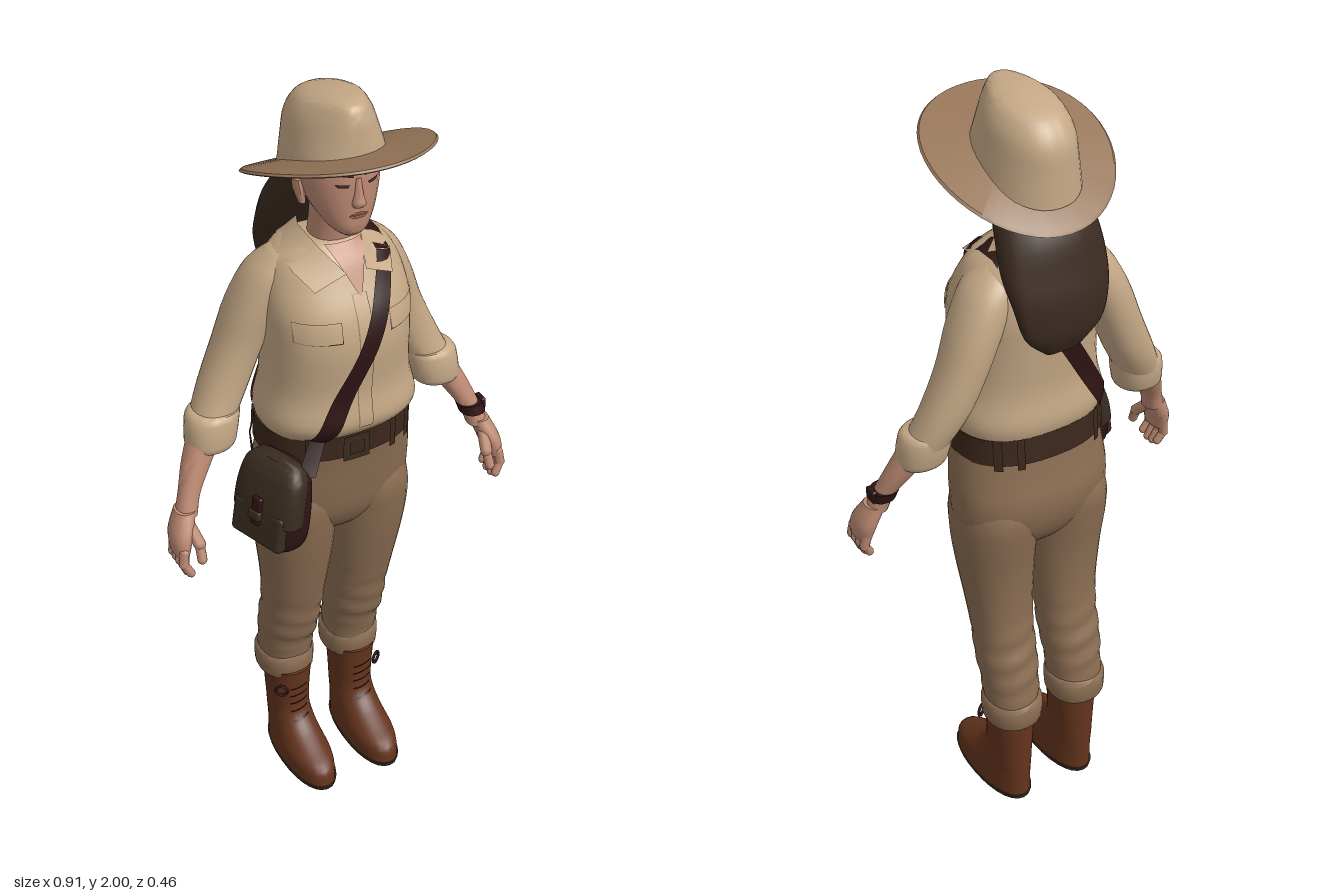
import * as THREE from 'three';
import { toCreasedNormals } from 'three/addons/utils/BufferGeometryUtils.js';
import { RoundedBoxGeometry } from 'three/addons/geometries/RoundedBoxGeometry.js';

const mat = (name, color) => Object.assign(new THREE.MeshStandardMaterial({ color, side: THREE.DoubleSide }), { name });
const M = {
  shirt: mat('sand cloth', 0xc5a886), brim: mat('hat brim tan', 0x957558), pants: mat('trouser brown', 0x8b6d52),
  skin: mat('skin', 0xbd8a73), hair: mat('dark hair', 0x3b2b21), belt: mat('belt leather', 0x3b271b),
  strap: mat('strap leather', 0x2d1413), bag: mat('bag leather', 0x392c20), boot: mat('boot leather', 0x64341d),
  lips: mat('lips', 0x9f6352),
};

// Catmull-Rom sampling of cross-sections [x, y, z, halfWidth, halfDepth, tilt]
function sample(keys, steps) {
  const rows = [], n = keys.length, K = i => keys[Math.min(n - 1, Math.max(0, i))];
  for (let i = 0; i < n - 1; i++) for (let s = 0; s < steps; s++) {
    const t = s / steps;
    rows.push([0, 1, 2, 3, 4, 5].map(c => {
      const [a, b, d, e] = [K(i - 1), K(i), K(i + 1), K(i + 2)].map(k => k[c] || 0);
      return 0.5 * (2 * b + (d - a) * t + (2 * a - 5 * b + 4 * d - e) * t * t + (3 * b - a - 3 * d + e) * t ** 3);
    }));
  }
  rows.push([...K(n - 1), 0].slice(0, 6));
  return rows;
}

export function createModel() {
  const model = new THREE.Group();
  model.name = 'explorer';

  function add(name, geo, material, parent = model) {
    const m = new THREE.Mesh(geo, material);
    m.name = name;
    parent.add(m);
    return m;
  }
  function build(pos, idx) {
    const g = new THREE.BufferGeometry();
    g.setAttribute('position', new THREE.Float32BufferAttribute(pos, 3));
    g.setIndex(idx);
    return toCreasedNormals(g, 0.8);
  }
  // Closed skin through superelliptical cross-sections, listed from bottom to top
  function loft(name, keys, material, { seg = 28, steps = 4, p = 2.2, warp, parent = model } = {}) {
    const rows = sample(keys, steps), pos = [], idx = [], v = new THREE.Vector3();
    const put = (x, y, z) => { v.set(x, y, z); if (warp) warp(v); pos.push(v.x, v.y, v.z); };
    const pw = c => Math.sign(c) * Math.abs(c) ** (2 / p);
    for (const [x, y, z, rx, rz, tilt] of rows) for (let j = 0; j < seg; j++) {
      const a = j / seg * Math.PI * 2, dz = rz * pw(Math.sin(a));
      put(x + rx * pw(Math.cos(a)), y + tilt * dz, z + dz);
    }
    const last = rows.length - 1, bot = rows.length * seg;
    put(...rows[0].slice(0, 3));
    put(...rows[last].slice(0, 3));
    for (let j = 0; j < seg; j++) {
      const k = (j + 1) % seg;
      for (let i = 0; i < last; i++) {
        const a = i * seg + j, b = i * seg + k;
        idx.push(a, a + seg, b, b, a + seg, b + seg);
      }
      idx.push(bot, j, k, bot + 1, last * seg + k, last * seg + j);
    }
    add(name, build(pos, idx), material, parent);
    return { rows, p };
  }
  // Depth of a lofted surface at (x, y); side +1 is the front, -1 the back
  function depth({ rows, p }, x, y, side) {
    let i = 0;
    while (i < rows.length - 2 && rows[i + 1][1] < y) i++;
    const t = THREE.MathUtils.clamp((y - rows[i][1]) / (rows[i + 1][1] - rows[i][1]), 0, 1);
    const [cx, , cz, rx, rz] = rows[i].map((a, c) => a + (rows[i + 1][c] - a) * t);
    const u = Math.min(1, Math.abs(x - cx) / rx);
    return cz + side * rz * (1 - u ** p) ** (1 / p);
  }
  // Strip between two rails of equal length
  function ribbon(name, A, B, material) {
    const pos = [], idx = [];
    A.forEach((a, i) => {
      pos.push(...a, ...B[i]);
      if (i) idx.push(2 * i - 2, 2 * i - 1, 2 * i, 2 * i, 2 * i - 1, 2 * i + 1);
    });
    add(name, build(pos, idx), material);
  }
  // Thin quad laid on a lofted surface; corners a-b form one edge, c-d the opposite one
  function patch(name, body, [a, b, c, d], material, off = 0.006, side = 1, n = 10, m = 6) {
    const pos = [], idx = [], mix = THREE.MathUtils.lerp;
    const flip = ((b[0] - a[0]) * (c[1] - a[1]) - (b[1] - a[1]) * (c[0] - a[0])) * side < 0;
    for (let i = 0; i <= n; i++) for (let j = 0; j <= m; j++) {
      const u = i / n, w = j / m;
      const x = mix(mix(a[0], b[0], w), mix(c[0], d[0], w), u), y = mix(mix(a[1], b[1], w), mix(c[1], d[1], w), u);
      pos.push(x, y, depth(body, x, y, side) + off * side);
      if (i < n && j < m) {
        const k = i * (m + 1) + j, l = k + m + 1;
        idx.push(...(flip ? [k, l, k + 1, l, l + 1, k + 1] : [k, k + 1, l, l, k + 1, l + 1]));
      }
    }
    add(name, build(pos, idx), material);
  }
  const box = (x0, x1, y0, y1) => [[x0, y0], [x1, y0], [x0, y1], [x1, y1]];
  // Rounded rod between two points
  function rod(name, a, b, r, material) {
    const A = new THREE.Vector3(...a), B = new THREE.Vector3(...b), d = B.clone().sub(A);
    const m = add(name, new THREE.CapsuleGeometry(r, d.length(), 4, 8), material);
    m.position.copy(A).add(B).multiplyScalar(0.5);
    m.quaternion.setFromUnitVectors(new THREE.Vector3(0, 1, 0), d.normalize());
  }

  // Shirt body, belt and hips
  const torso = loft('shirt', [[0.005, 1.15, -0.01, 0.187, 0.137], [0.005, 1.195, 0, 0.198, 0.157], [0.005, 1.28, 0, 0.18, 0.148],
    [0.005, 1.4, 0, 0.176, 0.158], [0.005, 1.48, -0.01, 0.178, 0.153], [0.005, 1.55, -0.025, 0.165, 0.13],
    [0.005, 1.6, -0.03, 0.135, 0.105], [0.005, 1.635, -0.035, 0.075, 0.075]], M.shirt, { seg: 40, p: 2.4 });
  loft('hips', [[0.01, 0.78, -0.036, 0.03, 0.04], [0.01, 0.82, -0.036, 0.12, 0.085], [0.01, 0.88, -0.037, 0.195, 0.12],
    [0.01, 0.96, -0.037, 0.206, 0.135], [0.01, 1.04, -0.025, 0.2, 0.133], [0.01, 1.12, -0.012, 0.187, 0.134]], M.pants, { seg: 36, p: 2.3 });
  const belt = loft('belt', [[0.005, 1.09, -0.014, 0.197, 0.143], [0.005, 1.16, -0.01, 0.195, 0.141]], M.belt, { seg: 36, steps: 1, p: 2.3 });
  patch('buckle', belt, box(-0.04, 0.03, 1.085, 1.155), M.bag, 0.008);
  patch('buckleInset', belt, box(-0.025, 0.015, 1.103, 1.138), M.belt, 0.011);
  for (const x of [-0.12, 0.1, 0.15]) for (const side of [1, -1])
    patch('beltLoop', belt, box(x - 0.009, x + 0.009, 1.08, 1.165), M.belt, 0.007, side, 3, 3);

  // Shirt front
  patch('neckOpening', torso, [[-0.04, 1.634], [0.055, 1.634], [0.008, 1.53], [0.014, 1.53]], M.skin, 0.006);
  patch('placketShadow', torso, box(-0.011, 0.026, 1.19, 1.535), M.brim, 0.002, 1, 24, 3);
  patch('placket', torso, box(-0.009, 0.026, 1.19, 1.535), M.shirt, 0.004, 1, 24, 3);
  for (const x of [-0.1, 0.125]) {
    patch('pocketFlapShadow', torso, [[x - 0.05, 1.434], [x + 0.05, 1.434], [x - 0.05, 1.482], [x + 0.05, 1.482]], M.brim, 0.003);
    patch('pocketFlap', torso, [[x - 0.048, 1.437], [x + 0.048, 1.437], [x - 0.05, 1.486], [x + 0.05, 1.486]], M.shirt, 0.006);
  }

  // Neck, head and face
  loft('neck', [[0.01, 1.58, -0.025, 0.062, 0.055], [0.01, 1.66, -0.015, 0.056, 0.055], [0.01, 1.75, 0, 0.055, 0.06]], M.skin);
  const head = loft('head', [[0.01, 1.672, 0.062, 0.022, 0.028], [0.01, 1.69, 0.054, 0.045, 0.05], [0.01, 1.73, 0.03, 0.07, 0.077],
    [0.01, 1.78, 0.008, 0.088, 0.1], [0.01, 1.83, 0, 0.094, 0.107], [0.01, 1.9, -0.01, 0.093, 0.108]], M.skin);
  loft('nose', [[0.01, 1.755, 0.107, 0.014, 0.012], [0.01, 1.765, 0.108, 0.017, 0.018], [0.01, 1.785, 0.106, 0.011, 0.014],
    [0.01, 1.825, 0.1, 0.008, 0.01]], M.skin, { seg: 10, steps: 3 });
  patch('upperLip', head, [[-0.016, 1.735], [0.036, 1.735], [0.004, 1.742], [0.016, 1.742]], M.lips, 0.004);
  patch('lowerLip', head, [[-0.004, 1.726], [0.024, 1.726], [-0.014, 1.734], [0.034, 1.734]], M.lips, 0.004);
  for (const s of [-1, 1]) {
    const X = v => 0.01 + s * v;
    patch('eye', head, [[X(0.026), 1.806], [X(0.048), 1.807], [X(0.022), 1.813], [X(0.055), 1.816]], M.hair, 0.003);
    patch('brow', head, [[X(0.014), 1.83], [X(0.062), 1.839], [X(0.014), 1.836], [X(0.06), 1.844]], M.hair, 0.004);
    loft('ear', [[X(0.086), 1.735, 0, 0.008, 0.01], [X(0.091), 1.765, -0.005, 0.012, 0.018], [X(0.095), 1.795, -0.008, 0.009, 0.016]],
      M.skin, { seg: 10 });
  }
  loft('hair', [[0.015, 1.415, -0.185, 0.045, 0.014], [0.015, 1.47, -0.19, 0.1, 0.032], [0.013, 1.55, -0.177, 0.124, 0.048],
    [0.013, 1.62, -0.147, 0.134, 0.063], [0.012, 1.7, -0.11, 0.126, 0.078], [0.01, 1.78, -0.062, 0.106, 0.08],
    [0.01, 1.86, -0.04, 0.098, 0.085]], M.hair, { warp: v => { v.z += 0.002 * Math.sin(v.x * 80); } });

  // Hat: brim dips to the back, crown is pinched at the front
  const brim = new THREE.LatheGeometry([[0.09, 0], [0.217, 0], [0.222, 0.004], [0.217, 0.009], [0.09, 0.009]]
    .map(p => new THREE.Vector2(...p)), 48);
  const bp = brim.attributes.position;
  for (let i = 0; i < bp.count; i++) {
    const z = bp.getZ(i) + 0.007;
    bp.setXYZ(i, bp.getX(i) + 0.012, bp.getY(i) + 1.836 + 0.41 * z - 0.54 * z * z, z);
  }
  add('hatBrim', toCreasedNormals(brim, 0.6), M.brim);
  loft('hatCrown', [[0.01, 1.825, -0.025, 0.112, 0.143, 0.4], [0.01, 1.88, -0.025, 0.103, 0.14, 0.3], [0.01, 1.935, -0.025, 0.091, 0.135, 0.2],
    [0.01, 1.973, -0.016, 0.07, 0.112, 0.15], [0.01, 1.988, -0.005, 0.045, 0.075, 0.12]], M.shirt, {
    seg: 36, warp: v => {
      const k = THREE.MathUtils.clamp((v.z + 0.02) / 0.13, 0, 1) * THREE.MathUtils.clamp((v.y - 1.87) / 0.1, 0, 1);
      v.x = 0.01 + (v.x - 0.01) * (1 - 0.3 * k);
    } });

  for (const s of [-1, 1]) {
    // Collar wing
    ribbon('collar', [[0.005, 1.66, -0.1], [s * 0.05, 1.665, -0.085], [s * 0.072, 1.662, -0.03], [s * 0.055, 1.632, 0.04], [0.008 + s * 0.025, 1.585, 0.104]],
      [[0.005, 1.6, -0.15], [s * 0.08, 1.605, -0.13], [s * 0.127, 1.605, -0.025], [s * 0.125, 1.59, 0.05], [s * 0.1, 1.56, 0.108]], M.shirt);

    // Sleeve, rolled cuff and forearm
    const S = keys => keys.map(([x, ...r]) => [s * x, ...r]);
    loft('sleeve', S([[0.307, 1.17, -0.045, 0.054, 0.053], [0.26, 1.26, -0.066, 0.06, 0.06], [0.212, 1.37, -0.072, 0.06, 0.066],
      [0.172, 1.47, -0.066, 0.063, 0.074], [0.125, 1.555, -0.055, 0.066, 0.07], [0.09, 1.603, -0.045, 0.045, 0.045]]), M.shirt);
    loft('sleeveCuff', S([[0.312, 1.125, -0.036, 0.056, 0.052], [0.308, 1.14, -0.038, 0.063, 0.058], [0.298, 1.2, -0.045, 0.066, 0.06],
      [0.29, 1.215, -0.048, 0.06, 0.055]]), M.shirt, { steps: 2 });
    loft('forearm', S([[0.405, 0.985, 0.02, 0.027, 0.03], [0.388, 1.035, 0.006, 0.027, 0.028], [0.355, 1.1, -0.018, 0.036, 0.036],
      [0.315, 1.17, -0.04, 0.044, 0.043]]), M.skin, { seg: 16 });

    // Hand
    loft('palm', S([[0.437, 0.9, 0.046, 0.018, 0.04], [0.43, 0.945, 0.037, 0.026, 0.044], [0.408, 1, 0.02, 0.026, 0.031]]), M.skin, { seg: 16 });
    for (let i = 0; i < 4; i++) {
      const z = 0.014 + i * 0.021, tip = 0.842 + Math.abs(i - 1.6) * 0.009;
      rod('fingerBase', [s * 0.438, 0.915, z], [s * 0.443, 0.882, z + 0.004], 0.0125, M.skin);
      rod('fingerTip', [s * 0.443, 0.882, z + 0.004], [s * 0.428, tip, z + 0.009], 0.011, M.skin);
    }
    rod('thumbBase', [s * 0.41, 0.968, 0.045], [s * 0.4, 0.93, 0.082], 0.015, M.skin);
    rod('thumbTip', [s * 0.4, 0.93, 0.082], [s * 0.402, 0.895, 0.098], 0.012, M.skin);

    // Trouser leg with turned-up hem
    const L = keys => keys.map(([x, ...r]) => [0.01 + s * x, ...r]);
    loft('trouserLeg', L([[0.097, 0.3, -0.112, 0.068, 0.073], [0.096, 0.39, -0.1, 0.072, 0.076], [0.096, 0.46, -0.082, 0.077, 0.083],
      [0.095, 0.53, -0.066, 0.077, 0.083], [0.096, 0.62, -0.05, 0.083, 0.088], [0.099, 0.74, -0.038, 0.095, 0.103],
      [0.102, 0.84, -0.036, 0.102, 0.118], [0.1, 0.92, -0.036, 0.1, 0.124], [0.095, 0.99, -0.036, 0.075, 0.1]]), M.pants, {
      warp: v => { if (v.y < 0.56) v.z += 0.004 * Math.sin(v.y * 95 + v.x * 25); } });
    loft('trouserHem', L([[0.097, 0.268, -0.112, 0.068, 0.072], [0.097, 0.28, -0.112, 0.075, 0.079], [0.097, 0.33, -0.111, 0.077, 0.08],
      [0.097, 0.343, -0.11, 0.068, 0.073]]), M.pants, { steps: 2 });

    // Boot, sole and laces
    const boot = loft('boot', L([[0.096, 0.012, -0.015, 0.061, 0.153], [0.096, 0.055, -0.021, 0.061, 0.147], [0.096, 0.085, -0.052, 0.056, 0.117],
      [0.096, 0.12, -0.083, 0.053, 0.086], [0.096, 0.17, -0.098, 0.053, 0.071], [0.096, 0.29, -0.098, 0.061, 0.074]]), M.boot);
    loft('bootSole', L([[0.096, 0, -0.015, 0.061, 0.154], [0.096, 0.012, -0.015, 0.064, 0.157]]), M.hair, { steps: 1 });
    const bx = 0.01 + s * 0.096;
    for (let i = 0; i < 5; i++) {
      const y = 0.13 + i * 0.026;
      patch('lace', boot, [[bx - 0.025, y], [bx - 0.025, y + 0.005], [bx + 0.025, y + 0.01], [bx + 0.025, y + 0.015]], M.strap, 0.005, 1, 6, 1);
    }
    const knot = add('laceLoop', new THREE.TorusGeometry(0.016, 0.004, 6, 12), M.strap);
    knot.position.set(bx + s * 0.048, 0.238, -0.035);
    knot.rotation.y = s * 0.6;
  }

  // Wristband with watch face on the left wrist
  loft('wristband', [[0.394, 1.02, 0.012, 0.033, 0.035], [0.388, 1.045, 0.005, 0.034, 0.035]], M.strap, { steps: 1, seg: 16 });
  add('watchFace', new RoundedBoxGeometry(0.014, 0.034, 0.036, 2, 0.005), M.strap).position.set(0.42, 1.034, 0.01);

  // Shoulder strap: front, over the shoulder, back, then down to the bag
  const w = 0.021;
  patch('strapFront', torso, [[0.1 - w, 1.605], [0.1 + w, 1.59], [-0.105 - w, 1.17], [-0.105 + w, 1.15]], M.strap, 0.009, 1, 28, 3);
  patch('strapBack', torso, [[0.1 - w, 1.605], [0.1 + w, 1.59], [-0.165 - w, 1.18], [-0.165 + w, 1.15]], M.strap, 0.008, -1, 28, 3);
  const edge = (x, y, side) => [x, y, depth(torso, x, y, side) + 0.008 * side];
  ribbon('strapShoulder', [edge(0.079, 1.605, 1), [0.079, 1.636, 0], [0.079, 1.638, -0.06], edge(0.079, 1.605, -1)],
    [edge(0.121, 1.59, 1), [0.121, 1.615, 0], [0.121, 1.617, -0.06], edge(0.121, 1.59, -1)], M.strap);
  ribbon('strapFrontEnd', [edge(-0.126, 1.17, 1), [-0.18, 1.1, 0.165]], [edge(-0.084, 1.15, 1), [-0.13, 1.09, 0.165]], M.strap);
  ribbon('strapBackEnd', [edge(-0.186, 1.18, -1), [-0.215, 1.14, -0.01], [-0.225, 1.08, 0.035]],
    [edge(-0.144, 1.15, -1), [-0.205, 1.12, -0.04], [-0.225, 1.06, 0.02]], M.strap);

  // Satchel, leaning against the hip and wider at the bottom
  const bag = new THREE.Group();
  bag.name = 'satchel';
  bag.position.set(-0.206, 1.008, 0.1);
  bag.rotation.set(-0.18, -1.25, 0, 'YXZ');
  model.add(bag);
  loft('bagBody', [[0, -0.11, 0, 0.06, 0.03], [0, -0.1, 0, 0.082, 0.046], [0, -0.06, 0, 0.096, 0.054], [0, 0.03, 0, 0.095, 0.052],
    [0, 0.09, -0.003, 0.084, 0.042], [0, 0.115, -0.005, 0.06, 0.025]], M.strap, { p: 3, parent: bag });
  loft('bagFlap', [[0, -0.03, 0.02, 0.1, 0.042], [0, 0.03, 0.018, 0.099, 0.041], [0, 0.09, 0.01, 0.09, 0.037],
    [0, 0.118, 0.004, 0.066, 0.022]], M.bag, { p: 3, parent: bag });
  const part = (name, size, at, r, m) => add(name, new RoundedBoxGeometry(...size, 3, r), m, bag).position.set(...at);
  part('bagPocket', [0.165, 0.1, 0.035], [0, -0.05, 0.043], 0.014, M.bag);
  part('bagTab', [0.03, 0.075, 0.014], [0, -0.01, 0.062], 0.006, M.strap);
  part('bagBuckle', [0.038, 0.024, 0.016], [0, -0.02, 0.066], 0.005, M.bag);
  return model;
}
